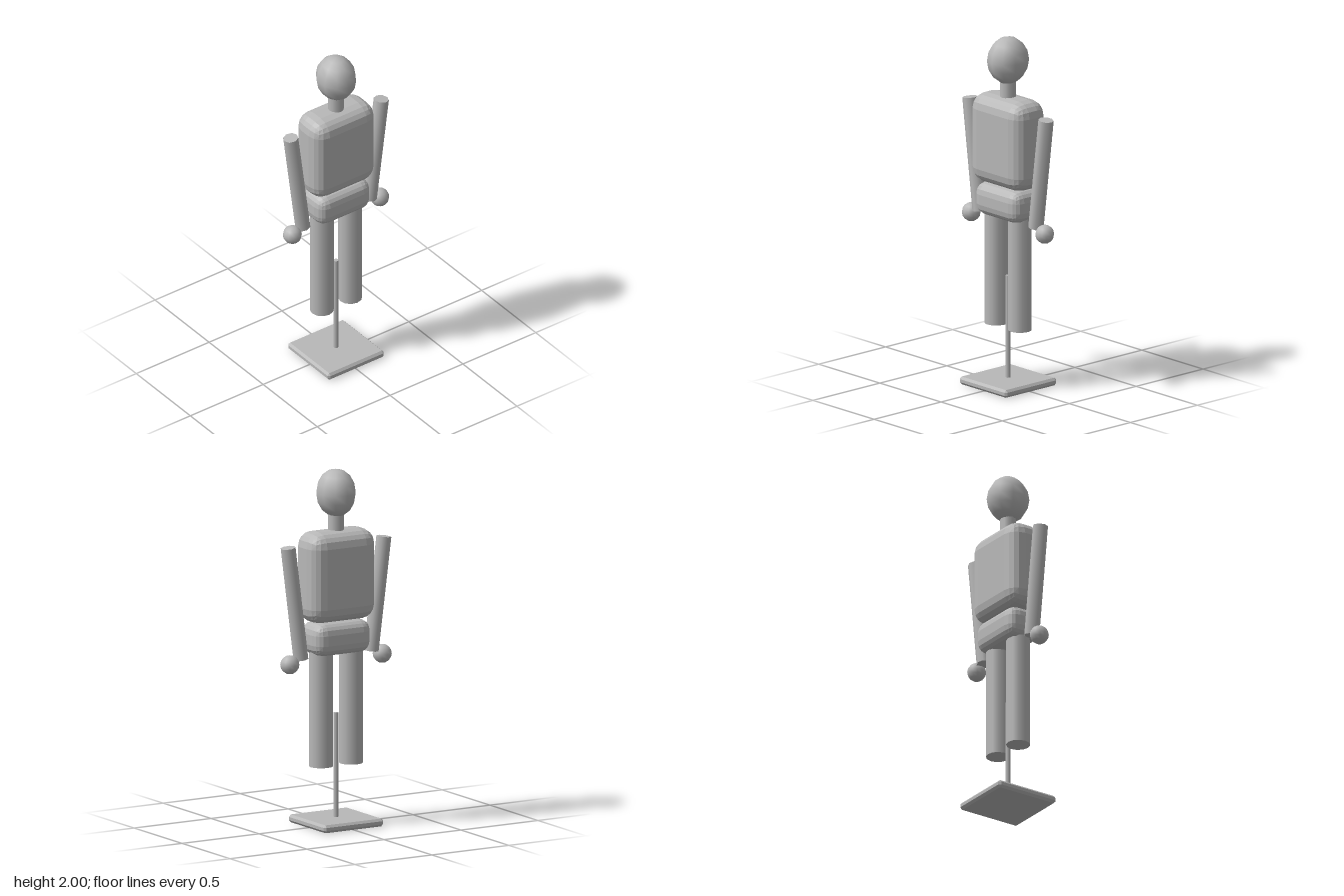
import * as THREE from 'three';
import { RoundedBoxGeometry } from 'three/addons/geometries/RoundedBoxGeometry.js';
import { ConvexGeometry } from 'three/addons/geometries/ConvexGeometry.js';

const plainGrey = new THREE.MeshStandardMaterial({ color: 0xb8b8b8 });
plainGrey.name = 'plainGrey';

// Box with faceted round edges
function softBlock(w, h, d, r) {
  const g = new RoundedBoxGeometry(w, h, d, 2, r);
  g.computeVertexNormals();
  return g;
}

// Box with a single flat chamfer on every edge
function chamferedBox(w, h, d, c) {
  const points = [];
  for (const x of [-w / 2, w / 2])
    for (const y of [-h / 2, h / 2])
      for (const z of [-d / 2, d / 2])
        for (let k = 0; k < 3; k++) {
          const p = [x, y, z].map((v, i) => (i === k ? v : v - Math.sign(v) * c));
          points.push(new THREE.Vector3(...p));
        }
  return new ConvexGeometry(points);
}

export function createModel() {
  const model = new THREE.Group();
  model.name = 'mannequin';

  function add(name, geometry, x, y, z = 0) {
    const mesh = new THREE.Mesh(geometry, plainGrey);
    mesh.name = name;
    mesh.position.set(x, y, z);
    model.add(mesh);
    return mesh;
  }

  // Upright cylinder, or leaning one, between two points
  function rod(name, r, sides, x0, y0, x1, y1) {
    const length = Math.hypot(x1 - x0, y1 - y0);
    const mesh = add(name, new THREE.CylinderGeometry(r, r, length, sides), (x0 + x1) / 2, (y0 + y1) / 2);
    mesh.rotation.z = -Math.atan2(x1 - x0, y1 - y0);
    return mesh;
  }

  // Stand
  add('base', chamferedBox(0.386, 0.04, 0.386, 0.012), 0, 0.022).scale.y = 1.1;
  rod('supportRod', 0.014, 8, 0, 0.04, 0, 0.63);

  // Head: ten-sided smooth egg
  const headShape = new THREE.SphereGeometry(1, 10, 8);
  headShape.rotateY(Math.PI / 2);
  headShape.scale(0.11, 0.134, 0.122);
  add('head', headShape, 0, 1.866);
  rod('neck', 0.045, 12, 0, 1.62, 0, 1.76);

  // Body
  add('torso', softBlock(0.425, 0.51, 0.235, 0.085), 0, 1.405);
  add('pelvis', softBlock(0.362, 0.187, 0.214, 0.065), 0, 1.058);

  // Limbs, mirrored
  for (const [side, s] of [['left', 1], ['right', -1]]) {
    rod(side + 'Arm', 0.0425, 8, s * 0.228, 0.953, s * 0.311, 1.588);
    add(side + 'Hand', new THREE.SphereGeometry(0.053, 12, 8), s * 0.3, 0.93);
    rod(side + 'Leg', 0.067, 12, s * 0.097, 0.338, s * 0.097, 0.99);
  }

  return model;
}
